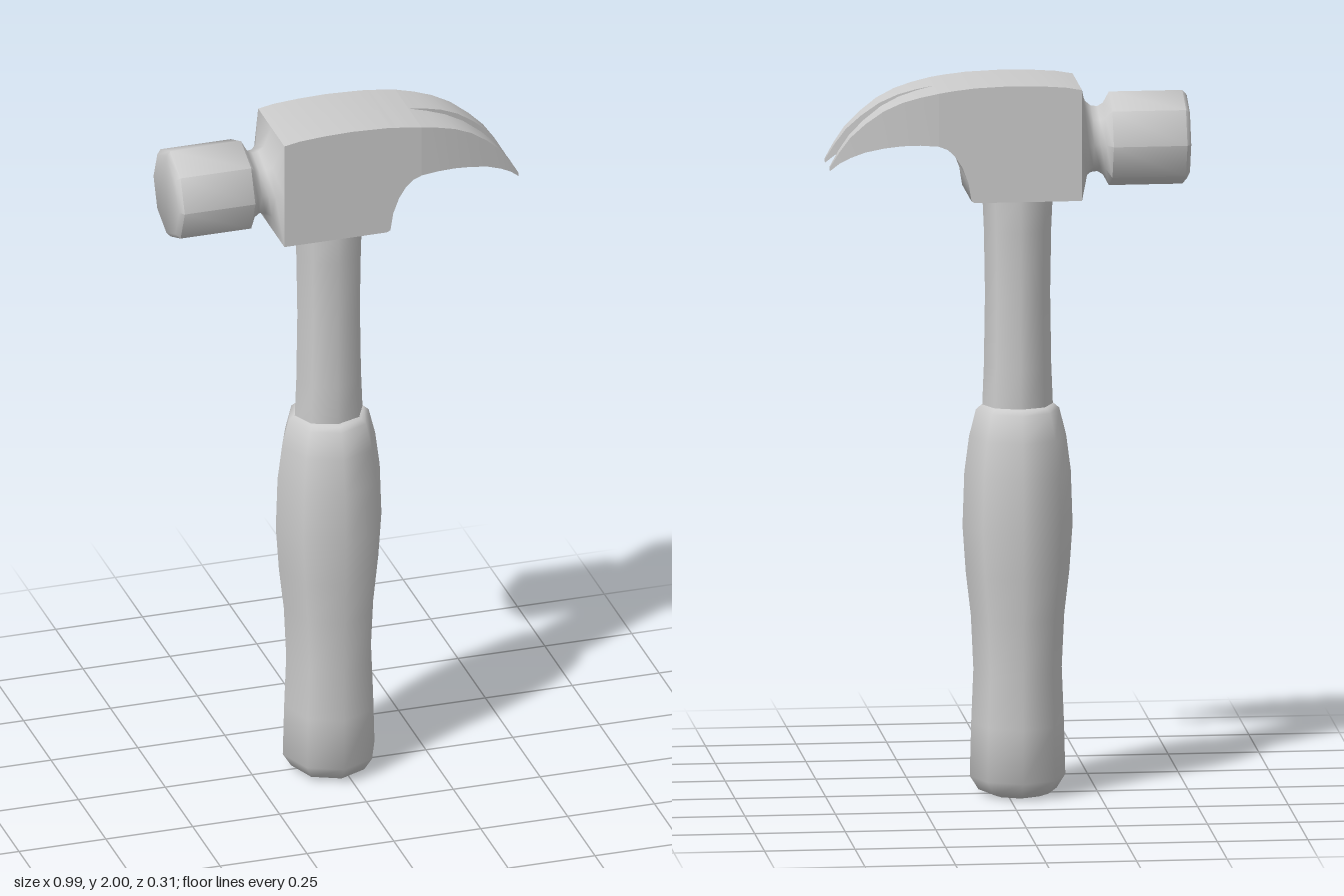
import * as THREE from 'three';
import { toCreasedNormals } from 'three/addons/utils/BufferGeometryUtils.js';

const steel = new THREE.MeshStandardMaterial({ color: 0xcccccc });

// Skin over rings of [x, y, z] points, each counter-clockwise about the loft direction
function loft(name, rings, capStart, capEnd) {
  const pos = [];
  const tri = (a, b, c) => pos.push(...a, ...b, ...c);
  const n = rings[0].length;
  for (let i = 0; i < rings.length - 1; i++) {
    for (let j = 0; j < n; j++) {
      const k = (j + 1) % n;
      const a = rings[i][j], b = rings[i][k], c = rings[i + 1][k], d = rings[i + 1][j];
      tri(a, b, c);
      tri(a, c, d);
    }
  }
  const first = rings[0], last = rings[rings.length - 1];
  for (let j = 1; j < n - 1; j++) {
    if (capStart) tri(first[0], first[j + 1], first[j]);
    if (capEnd) tri(last[0], last[j], last[j + 1]);
  }
  const geo = new THREE.BufferGeometry();
  geo.setAttribute('position', new THREE.Float32BufferAttribute(pos, 3));
  const mesh = new THREE.Mesh(toCreasedNormals(geo, Math.PI / 3), steel);
  mesh.name = name;
  return mesh;
}

const SIDES = 8;
const angles = Array.from({ length: SIDES }, (_, j) => (j / SIDES) * Math.PI * 2);

// Eight-sided ring around the handle axis
const handleRing = ([y, rx, rz]) =>
  angles.map((a) => [-0.03 + rx * Math.cos(a), y, -rz * Math.sin(a)]);

// Eight-sided ring around the striking axis
const pollRing = ([x, r]) =>
  angles.map((a) => [x, 1.825 + r * Math.cos(a), r * Math.sin(a)]);

// Rectangular section across the head
const boxRing = (x, y0, y1, z0, z1) =>
  [[x, y1, z1], [x, y0, z1], [x, y0, z0], [x, y1, z0]];

export function createModel() {
  const group = new THREE.Group();

  // Grip: y, half width, half depth
  group.add(loft('grip', [
    [0, 0.075, 0.085], [0.012, 0.108, 0.118], [0.05, 0.132, 0.142], [0.2, 0.128, 0.142],
    [0.35, 0.122, 0.142], [0.5, 0.129, 0.147], [0.62, 0.143, 0.154], [0.75, 0.152, 0.157],
    [0.9, 0.147, 0.152], [1.0, 0.134, 0.137], [1.075, 0.115, 0.118], [1.088, 0.1, 0.105],
  ].map(handleRing), true, true));

  // Shaft
  group.add(loft('shaft', [
    [1.05, 0.099, 0.087], [1.2, 0.093, 0.086], [1.4, 0.09, 0.086],
    [1.58, 0.093, 0.09], [1.69, 0.098, 0.096],
  ].map(handleRing), false, false));

  // Striking face and the waist behind it, flaring to the rectangular block
  const flare = angles.map((a) => {
    const c = Math.round(Math.cos(a) * 1.2), s = Math.round(Math.sin(a) * 1.2);
    return [-0.195, 1.83 + c * 0.155, s * 0.12];
  });
  group.add(loft('strikingFace', [
    ...[[-0.497, 0.117], [-0.485, 0.131], [-0.282, 0.131], [-0.265, 0.1],
      [-0.25, 0.091], [-0.232, 0.093], [-0.216, 0.106]].map(pollRing),
    flare,
  ], true, false));

  // Head block: x, underside, top
  group.add(loft('headBlock', [
    [-0.195, 1.675, 1.985], [-0.15, 1.675, 1.993], [-0.08, 1.675, 1.998], [0, 1.675, 2],
    [0.1, 1.675, 1.996], [0.11, 1.68, 1.995], [0.118, 1.73, 1.994], [0.135, 1.775, 1.992],
    [0.155, 1.806, 1.99], [0.175, 1.825, 1.987], [0.2, 1.835, 1.983],
  ].map(([x, y0, y1]) => boxRing(x, y0, y1, -0.12, 0.12)), false, false));

  // Curved claws: x, underside, top, inner z, outer z
  const claw = [
    [0.2, 1.835, 1.983, 0, 0.12], [0.25, 1.838, 1.972, 0.007, 0.115],
    [0.3, 1.836, 1.957, 0.014, 0.108], [0.35, 1.829, 1.933, 0.022, 0.1],
    [0.4, 1.817, 1.896, 0.032, 0.09], [0.44, 1.801, 1.858, 0.041, 0.082],
    [0.47, 1.784, 1.816, 0.048, 0.075], [0.495, 1.763, 1.773, 0.055, 0.068],
  ];
  for (const [name, s] of [['frontClaw', 1], ['backClaw', -1]]) {
    group.add(loft(name, claw.map(([x, y0, y1, zi, zo]) =>
      boxRing(x, y0, y1, Math.min(s * zi, s * zo), Math.max(s * zi, s * zo))), false, true));
  }

  return group;
}
